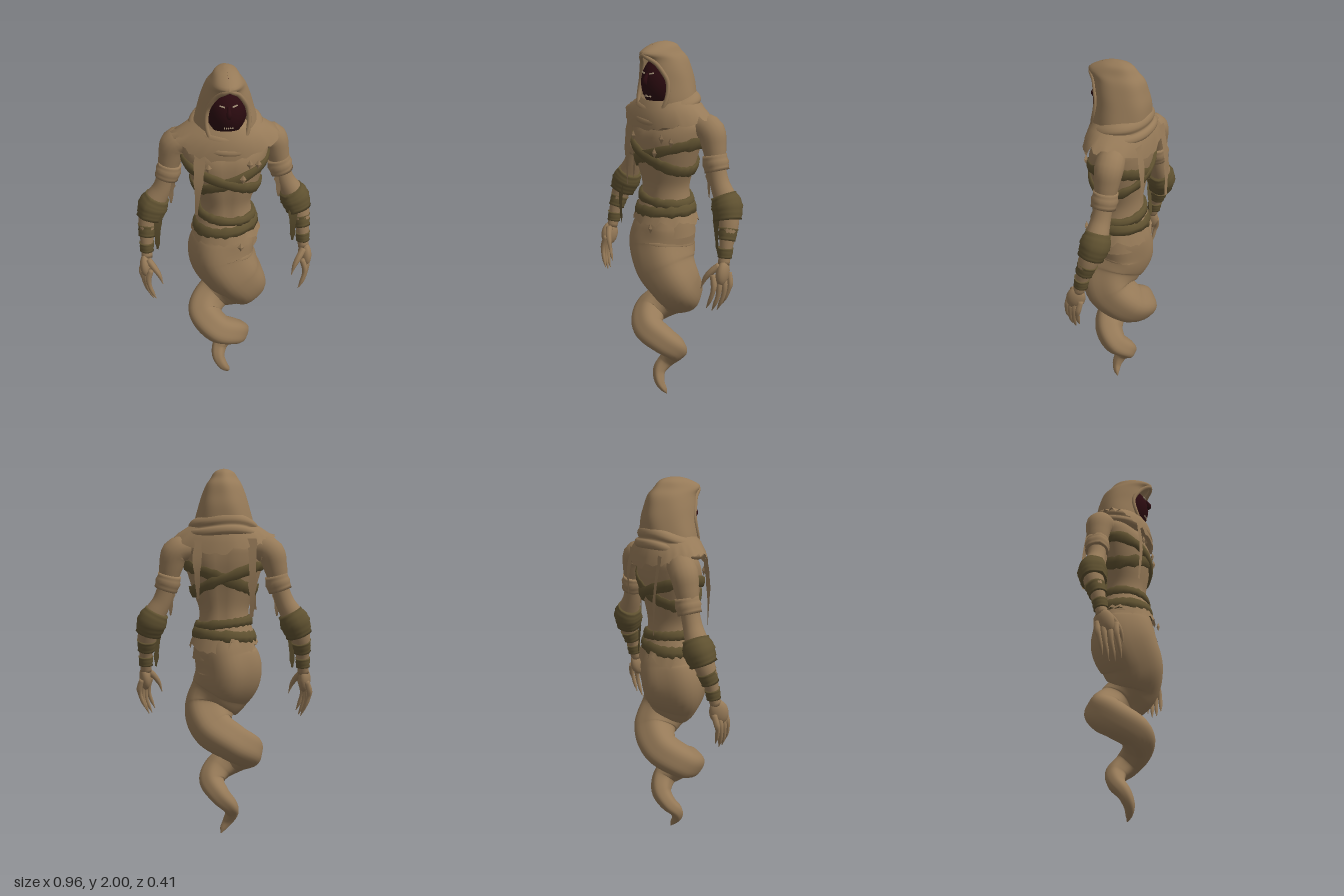
import * as THREE from 'three';

const material = (name, color) => {
  const m = new THREE.MeshStandardMaterial({ color, side: THREE.DoubleSide });
  m.name = name;
  return m;
};
const V = (x, y, z) => new THREE.Vector3(x, y, z);
const TAU = Math.PI * 2;
// repeatable ragged value between -1 and 1
const rag = (i) => { const s = Math.sin(i * 127.1 + 3.7) * 4375.85; return (s - Math.floor(s)) * 2 - 1; };

// smooth every column of a small table
function resample(rows, n) {
  const cols = rows[0].map((_, k) => new THREE.SplineCurve(rows.map((r, i) => new THREE.Vector2(i, r[k]))));
  return Array.from({ length: n + 1 }, (_, i) => cols.map((c) => c.getPoint(i / n).y));
}

// surface through a list of rings
function skin(rings, closed = true) {
  const m = rings[0].length, pos = [], idx = [];
  rings.forEach((r) => r.forEach((p) => pos.push(p.x, p.y, p.z)));
  for (let i = 0; i < rings.length - 1; i++) {
    for (let j = 0; j < (closed ? m : m - 1); j++) {
      const k = (j + 1) % m, a = i * m + j, b = i * m + k, c = b + m, d = a + m;
      idx.push(a, b, c, a, c, d);
    }
  }
  const g = new THREE.BufferGeometry();
  g.setAttribute('position', new THREE.Float32BufferAttribute(pos, 3));
  g.setIndex(idx);
  g.computeVertexNormals();
  return g;
}

// level rings, rows are [y, rx, rz, cz] from bottom to top
function loft(rows, sides, tweak) {
  return skin(rows.map(([y, rx, rz, cz], i) => Array.from({ length: sides }, (_, j) => {
    const a = j / sides * TAU, p = V(rx * Math.sin(a), y, cz + rz * Math.cos(a));
    if (tweak) tweak(p, a, i, j);
    return p;
  })));
}

// round tapering tube, points are [x, y, z, radius]
function limb(pts, n = 16, sides = 14, fold = () => 1) {
  const curve = new THREE.CatmullRomCurve3(pts.map((p) => V(p[0], p[1], p[2])));
  const radius = new THREE.SplineCurve(pts.map((p, i) => new THREE.Vector2(i, p[3])));
  const f = curve.computeFrenetFrames(n, false), rings = [];
  for (let i = 0; i <= n; i++) {
    const t = curve.getUtoTmapping(i / n), c = curve.getPoint(t), r = radius.getPoint(t).y;
    rings.push(Array.from({ length: sides }, (_, j) => {
      const a = j / sides * TAU, q = r * fold(a, i / n, j);
      return c.clone().addScaledVector(f.normals[i], q * Math.cos(a)).addScaledVector(f.binormals[i], q * Math.sin(a));
    }));
  }
  const cap = (p) => Array.from({ length: sides }, () => V(...p.slice(0, 3)));
  return skin([cap(pts[0]), ...rings, cap(pts[pts.length - 1])]);
}

// hanging torn ribbon, points are [x, y, z, half width]
function ribbon(pts, seed) {
  return skin(resample(pts, 10).map(([x, y, z, w], i) => {
    const k = w * (1 + 0.25 * rag(i + seed));
    return [V(x - k, y, z), V(x + k, y, z + 0.006)];
  }), false);
}

const TORSO = resample([
  [1.0, 0.17, 0.15, 0], [1.08, 0.16, 0.14, 0], [1.16, 0.142, 0.125, 0], [1.26, 0.132, 0.118, 0],
  [1.36, 0.165, 0.132, 0], [1.46, 0.195, 0.148, -0.005], [1.54, 0.215, 0.15, -0.012],
  [1.61, 0.21, 0.13, -0.025], [1.68, 0.12, 0.09, -0.02], [1.73, 0.06, 0.06, -0.01],
], 40);
function torsoAt(y) {
  const i = Math.max(1, TORSO.findIndex((r) => r[0] >= y)), a = TORSO[i - 1], b = TORSO[i];
  const t = THREE.MathUtils.clamp((y - a[0]) / (b[0] - a[0]), 0, 1);
  return a.map((v, k) => v + (b[k] - v) * t);
}
// cloth band hugging the torso, tilted sideways
function band(y0, half, tilt, out, seed) {
  const n = 48;
  return skin([[-1, 0], [-1, out], [0, out * 1.25], [1, out], [1, 0]].map(([k, o]) => Array.from({ length: n }, (_, j) => {
    const a = j / n * TAU, y = y0 + tilt * Math.sin(a) + k * half * (1 + 0.2 * rag(j + seed));
    const [, rx, rz, cz] = torsoAt(y);
    return V((rx + o) * Math.sin(a), y, cz + (rz + o) * Math.cos(a));
  })));
}

export function createModel() {
  const root = new THREE.Group();
  root.name = 'hoodedSpirit';
  const tan = material('tanCloth', 0x967a58), olive = material('oliveWrap', 0x5f5130);
  const maroon = material('darkMaroon', 0x2b0b10), pale = material('paleBone', 0xa8967c);
  const add = (name, geo, mat, parent = root) => {
    const m = new THREE.Mesh(geo, mat);
    m.name = name;
    parent.add(m);
    return m;
  };

  // spiralling tail with long twisted folds
  add('tail', limb([
    [0, 1.14, 0, 0.14], [-0.005, 1.04, 0, 0.165], [-0.02, 0.93, 0.01, 0.178], [0.03, 0.82, 0.04, 0.163],
    [0.085, 0.72, 0.02, 0.137], [0.055, 0.625, -0.065, 0.115], [-0.05, 0.555, -0.095, 0.1],
    [-0.125, 0.485, -0.01, 0.092], [-0.06, 0.425, 0.08, 0.086], [0.03, 0.37, 0.06, 0.078],
    [0.066, 0.31, 0, 0.068], [0.02, 0.245, -0.05, 0.055], [-0.03, 0.185, -0.035, 0.045],
    [-0.045, 0.13, 0.01, 0.037], [-0.02, 0.07, 0.03, 0.028], [0.008, 0.025, 0.02, 0.016], [0.016, 0.002, 0.01, 0.003],
  ], 130, 36, (a, s) => 1 + 0.035 * Math.cos(5 * a + 4 * s) + 0.025 * Math.cos(3 * a - 9 * s)), tan);

  // torso with a furrow down chest and spine
  add('torso', loft(TORSO, 40, (p, a) => {
    const d = Math.min(Math.abs(Math.sin(a)) / 0.2, 3);
    p.z *= 1 - 0.07 * Math.exp(-d * d);
  }), tan);

  // hip cloth and belts
  add('hipCloth', loft([[1.08, 0.185, 0.168, 0], [1.13, 0.165, 0.15, 0], [1.2, 0.142, 0.126, 0]], 44, (p, a, i, j) => {
    if (i === 0) p.y += 0.03 * rag(j >> 1) - 0.012 * (j % 2);
  }), tan);
  add('lowerBelt', band(1.135, 0.028, 0.012, 0.021, 5), olive);
  add('upperBelt', band(1.195, 0.022, -0.015, 0.017, 9), olive);

  // crossed chest wraps
  add('chestWrapLeft', band(1.435, 0.03, 0.07, 0.012, 20), olive);
  add('chestWrapRight', band(1.43, 0.027, -0.075, 0.016, 40), olive);

  // shoulder mantle with a torn hem, and rolled cowl
  add('mantle', loft([[1.645, 0.268, 0.172, -0.015], [1.668, 0.24, 0.168, -0.012], [1.7, 0.19, 0.155, -0.01], [1.73, 0.14, 0.13, -0.01]], 56, (p, a, i, j) => {
    const w = [1, 0.7, 0.4, 0.2][i], c = Math.cos(a);
    p.y -= 0.075 * c * c * w;
    if (i === 0) { p.y += 0.018 * rag(j); p.x *= 1 + 0.03 * rag(j + 60); }
  }), tan);
  add('cowl', loft(resample([
    [1.61, 0.17, 0.145, -0.01], [1.635, 0.205, 0.168, -0.01], [1.66, 0.2, 0.165, -0.01], [1.672, 0.178, 0.15, -0.01],
    [1.695, 0.187, 0.156, -0.01], [1.72, 0.17, 0.146, -0.01], [1.735, 0.135, 0.12, -0.01],
  ], 18), 48, (p, a) => { p.y -= 0.035 * Math.cos(a) + 0.006 * Math.sin(3 * a); }), tan);

  // hood, open in front; rows are [y, rx, rz, cz, half opening angle]
  const hoodRows = resample([
    [1.65, 0.165, 0.145, -0.012, 0.45], [1.72, 0.155, 0.145, -0.012, 0.7], [1.8, 0.134, 0.143, -0.012, 0.84],
    [1.86, 0.117, 0.137, -0.004, 0.72], [1.915, 0.096, 0.132, 0.008, 0.42], [1.95, 0.075, 0.13, 0.036, 0.02],
    [1.983, 0.052, 0.085, 0.022, 0.01], [1.998, 0.018, 0.035, 0.018, 0.005], [2.0, 0.001, 0.001, 0.018, 0],
  ], 32);
  const rim = [];
  add('hood', skin(hoodRows.map(([y, rx, rz, cz, gap]) => {
    const ring = Array.from({ length: 49 }, (_, j) => {
      const a = gap + (TAU - 2 * gap) * j / 48;
      const k = 1 + 0.018 * Math.cos(6 * a + y * 9) * Math.sin(a / 2);
      return V(rx * k * Math.sin(a), y, cz + rz * k * Math.cos(a));
    });
    if (y < 1.945) rim.push(ring[0]);
    return ring;
  }), false), tan);
  const edge = rim.filter((_, i) => i % 3 === 0).map((p) => [p.x, p.y, p.z, 0.011]);
  const mirrored = edge.slice().reverse().map(([x, y, z, r]) => [-x, y, z, r]);
  add('hoodRim', limb([...edge, [0, 1.942, 0.157, 0.011], ...mirrored], 60, 8), tan);

  // shadowed face
  const face = add('face', new THREE.SphereGeometry(1, 28, 20), maroon);
  face.scale.set(0.104, 0.14, 0.125);
  face.position.set(0, 1.797, 0.016);
  add('nose', limb([[0, 1.85, 0.13, 0.008], [0, 1.81, 0.15, 0.013], [0, 1.795, 0.14, 0.008]], 8, 8), maroon);
  for (const s of [-1, 1]) {
    const eye = add('eye', new THREE.BoxGeometry(0.026, 0.006, 0.006), pale);
    eye.position.set(s * 0.03, 1.852, 0.13);
    eye.rotation.set(-0.3, s * 0.25, s * 0.3);
  }
  for (let i = -2; i <= 2; i++) {
    const tooth = add('tooth', new THREE.ConeGeometry(0.004, 0.012, 5), pale);
    tooth.position.set(i * 0.01, 1.74, 0.13 - Math.abs(i) * 0.001);
  }

  // arms, wraps and clawed hands
  for (const s of [-1, 1]) {
    const arm = new THREE.Group();
    arm.name = s > 0 ? 'leftArm' : 'rightArm';
    root.add(arm);
    const side = (pts) => pts.map(([x, ...r]) => [x * s, ...r]);
    const part = (name, pts, mat, n, sides, fold) => add(name, limb(side(pts), n, sides, fold), mat, arm);
    const torn = (a, t, j) => 1 + 0.05 * rag(j) + 0.03 * Math.cos(t * 25);
    part('armSkin', [
      [0.15, 1.59, -0.05, 0.06], [0.245, 1.572, -0.07, 0.072], [0.275, 1.49, -0.07, 0.062], [0.295, 1.4, -0.065, 0.049],
      [0.325, 1.31, -0.062, 0.05], [0.375, 1.22, -0.06, 0.06], [0.41, 1.12, -0.04, 0.052], [0.424, 1.02, -0.01, 0.036],
      [0.426, 0.97, 0, 0.031], [0.43, 0.92, 0.015, 0.03],
    ], tan, 44, 18);
    part('bicepCloth', [[0.28, 1.45, -0.068, 0.06], [0.29, 1.41, -0.066, 0.066], [0.303, 1.37, -0.064, 0.061]], tan, 6, 18, torn);
    part('elbowCuff', [[0.352, 1.255, -0.062, 0.064], [0.378, 1.205, -0.06, 0.079], [0.402, 1.135, -0.045, 0.068]], olive, 10, 20, torn);
    part('forearmWrap', [[0.414, 1.1, -0.035, 0.052], [0.422, 1.04, -0.015, 0.045]], olive, 6, 16, torn);
    part('wristWrap', [[0.425, 1.005, -0.005, 0.04], [0.427, 0.955, 0.003, 0.037]], olive, 6, 16, torn);
    add('elbowRibbon', ribbon(side([[0.36, 1.19, 0.0, 0.022], [0.365, 1.08, 0.0, 0.022], [0.37, 0.95, -0.01, 0.006]]), 4), olive, arm);
    add('bicepRibbon', ribbon(side([[0.27, 1.4, -0.02, 0.02], [0.28, 1.32, -0.03, 0.016], [0.285, 1.23, -0.03, 0.004]]), 8), tan, arm);
    const palm = add('palm', new THREE.SphereGeometry(1, 16, 12), tan, arm);
    palm.scale.set(0.032, 0.068, 0.05);
    palm.position.set(s * 0.437, 0.878, 0.028);
    palm.rotation.set(-0.25, s * 0.3, 0);
    for (let i = 0; i < 4; i++) {
      const z = -0.008 + i * 0.028, x = 0.453 - i * 0.012, drop = [0.03, 0, 0, 0.02][i];
      part('finger', [
        [x - 0.005, 0.875, z, 0.015], [x + 0.012, 0.82, z + 0.008, 0.0155], [x + 0.01, 0.765 + drop, z + 0.014, 0.012],
        [x - 0.005, 0.715 + drop, z + 0.02, 0.01], [x - 0.022, 0.675 + drop, z + 0.024, 0.002],
      ], tan, 14, 8);
    }
    part('thumb', [[0.425, 0.92, 0.04, 0.018], [0.395, 0.885, 0.07, 0.017], [0.37, 0.845, 0.088, 0.012], [0.353, 0.79, 0.098, 0.002]], tan, 12, 8);
  }

  // hanging torn strips
  add('frontStrip', ribbon([[-0.14, 1.6, 0.12, 0.025], [-0.15, 1.45, 0.135, 0.024], [-0.165, 1.25, 0.125, 0.006]], 2), tan);
  add('backStripRight', ribbon([[-0.155, 1.64, -0.155, 0.025], [-0.16, 1.45, -0.188, 0.022], [-0.155, 1.24, -0.193, 0.008]], 6), tan);
  add('backStripLeft', ribbon([[0.12, 1.64, -0.165, 0.024], [0.125, 1.5, -0.188, 0.02], [0.12, 1.33, -0.185, 0.006]], 12), tan);

  // diamond charms on the chest
  for (const [x, y, z] of [[0.15, 1.52, 0.115], [0.105, 1.535, 0.138], [-0.1, 1.525, 0.14], [0.07, 1.46, 0.153], [0.06, 1.06, 0.175]]) {
    const charm = add('charm', new THREE.OctahedronGeometry(0.022), tan);
    charm.scale.set(0.8, 1.2, 0.4);
    charm.position.set(x, y, z);
  }
  return root;
}
